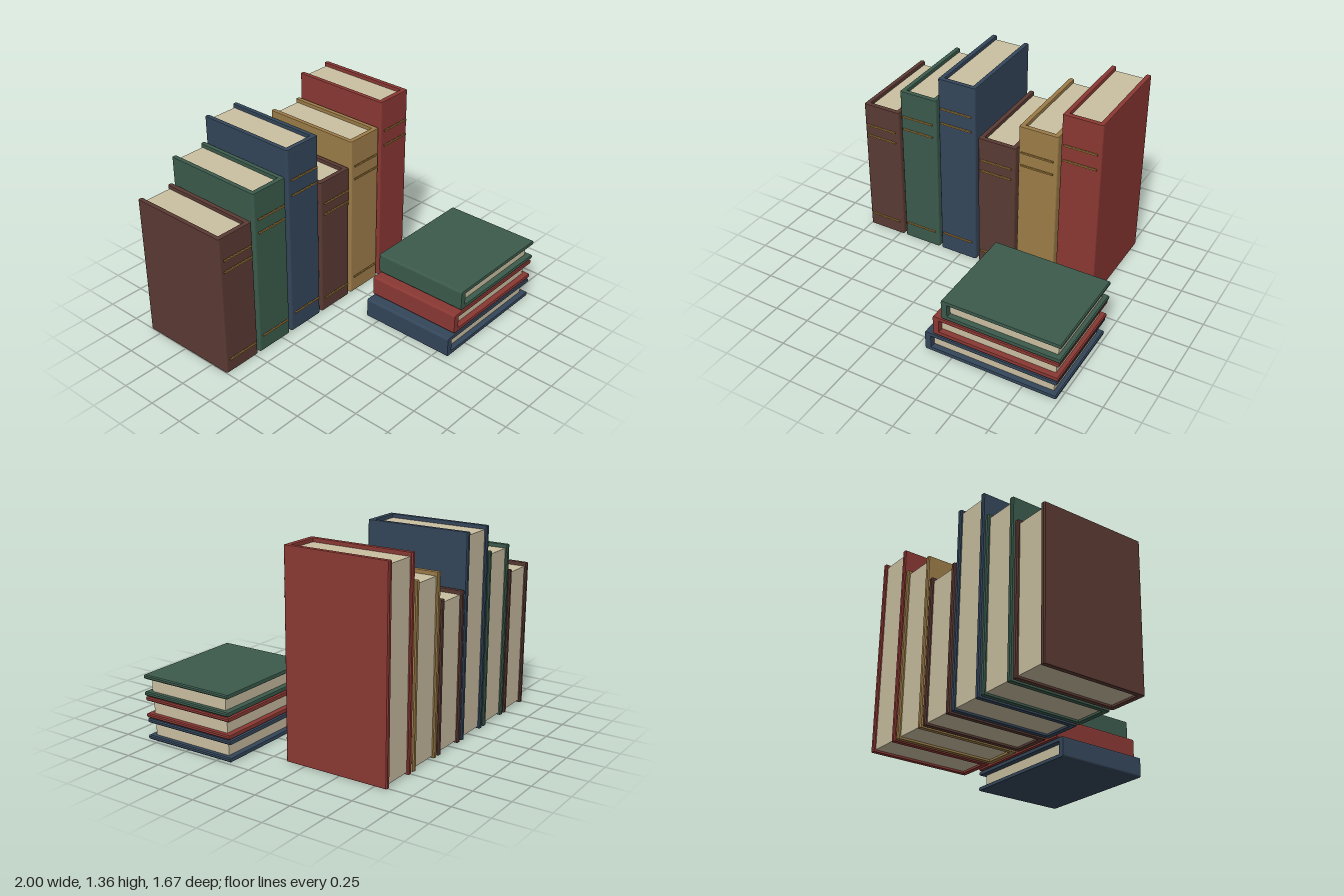
import * as THREE from 'three';

const mat = (name, color) => {
  const m = new THREE.MeshStandardMaterial({ color });
  m.name = name;
  return m;
};

// Folded cover: a U-shaped section (two boards and a spine) extruded along the book's height
function coverGeometry(t, h, d, board, spine) {
  const r = 0.015, e = 0.007, b = 0.005, w = t / 2, i = w - board;
  const s = new THREE.Shape();
  s.moveTo(-w + r, 0);
  s.lineTo(w - r, 0);
  s.quadraticCurveTo(w, 0, w, r);
  s.lineTo(w, d - e);
  s.lineTo(w - e, d);
  s.lineTo(i + e, d);
  s.lineTo(i, d - e);
  s.lineTo(i, spine);
  s.lineTo(-i, spine);
  s.lineTo(-i, d - e);
  s.lineTo(-i - e, d);
  s.lineTo(-w + e, d);
  s.lineTo(-w, d - e);
  s.lineTo(-w, r);
  s.quadraticCurveTo(-w, 0, -w + r, 0);
  const g = new THREE.ExtrudeGeometry(s, {
    depth: h - 2 * b, bevelEnabled: true, bevelThickness: b, bevelSize: b,
    bevelOffset: -b, bevelSegments: 2, curveSegments: 5,
  });
  g.translate(0, 0, b);
  g.rotateX(-Math.PI / 2);
  return g;
}

export function createModel() {
  const colors = {
    brown: mat('brown cloth', 0x5a3a33),
    green: mat('green cloth', 0x3b5a4c),
    navy: mat('navy cloth', 0x34465a),
    tan: mat('tan cloth', 0x9c7c48),
    red: mat('red cloth', 0x8a3833),
  };
  const paper = mat('paper', 0xcabfa1);
  const gold = mat('gold', 0xa9823f);

  const root = new THREE.Group();
  root.name = 'books';

  const add = (parent, name, geometry, material, x = 0, y = 0, z = 0) => {
    const m = new THREE.Mesh(geometry, material);
    m.name = name;
    m.position.set(x, y, z);
    parent.add(m);
    return m;
  };

  // A book standing on its tail, spine at z = 0 facing +z, pages running back along -z
  function book(name, material, { t, h, d, board, spine, head, tail, fore }) {
    const g = new THREE.Group();
    g.name = name;
    add(g, 'cover', coverGeometry(t, h, d, board, spine), material);
    const ph = h - head - tail, pd = d - spine - fore + 0.004;
    add(g, 'pages', new THREE.BoxGeometry(t - 2 * board + 0.002, ph, pd), paper,
      0, tail + ph / 2, -(spine - 0.004 + pd / 2));
    root.add(g);
    return g;
  }

  // Row of upright books
  const row = [['brown', 1], ['green', 1.18], ['navy', 1.355], ['brown', 1], ['tan', 1.18], ['red', 1.355]];
  row.forEach(([color, h], i) => {
    const b = book('standingBook' + (i + 1), colors[color],
      { t: 0.278, h, d: 0.725, board: 0.033, spine: 0.036, head: 0.025, tail: 0.015, fore: 0.016 });
    b.position.set(-0.861 + i * 0.298, 0, -0.11);
    // Gilt bands standing just proud of the spine
    for (const f of [0.845, 0.764, 0.105])
      add(b, 'spineBand', new THREE.BoxGeometry(0.23, 0.01, 0.009), gold, 0, h * f, 0.012);
  });

  // Stack of books lying flat, spines toward -x
  const lying = new THREE.Matrix4().makeBasis(
    new THREE.Vector3(0, 1, 0), new THREE.Vector3(0, 0, -1), new THREE.Vector3(-1, 0, 0));
  const stack = [['navy', 0.055, 0.98], ['red', 0.116, 0.988], ['green', 0.178, 0.998]];
  stack.forEach(([color, x0, x1], i) => {
    const b = book('lyingBook' + (i + 1), colors[color],
      { t: 0.14, h: 0.68, d: x1 - x0, board: 0.027, spine: 0.044, head: 0.04, tail: 0.04, fore: 0.034 });
    b.setRotationFromMatrix(lying);
    b.position.set(x0, 0.07 + i * 0.15, 0.835);
  });

  return root;
}
